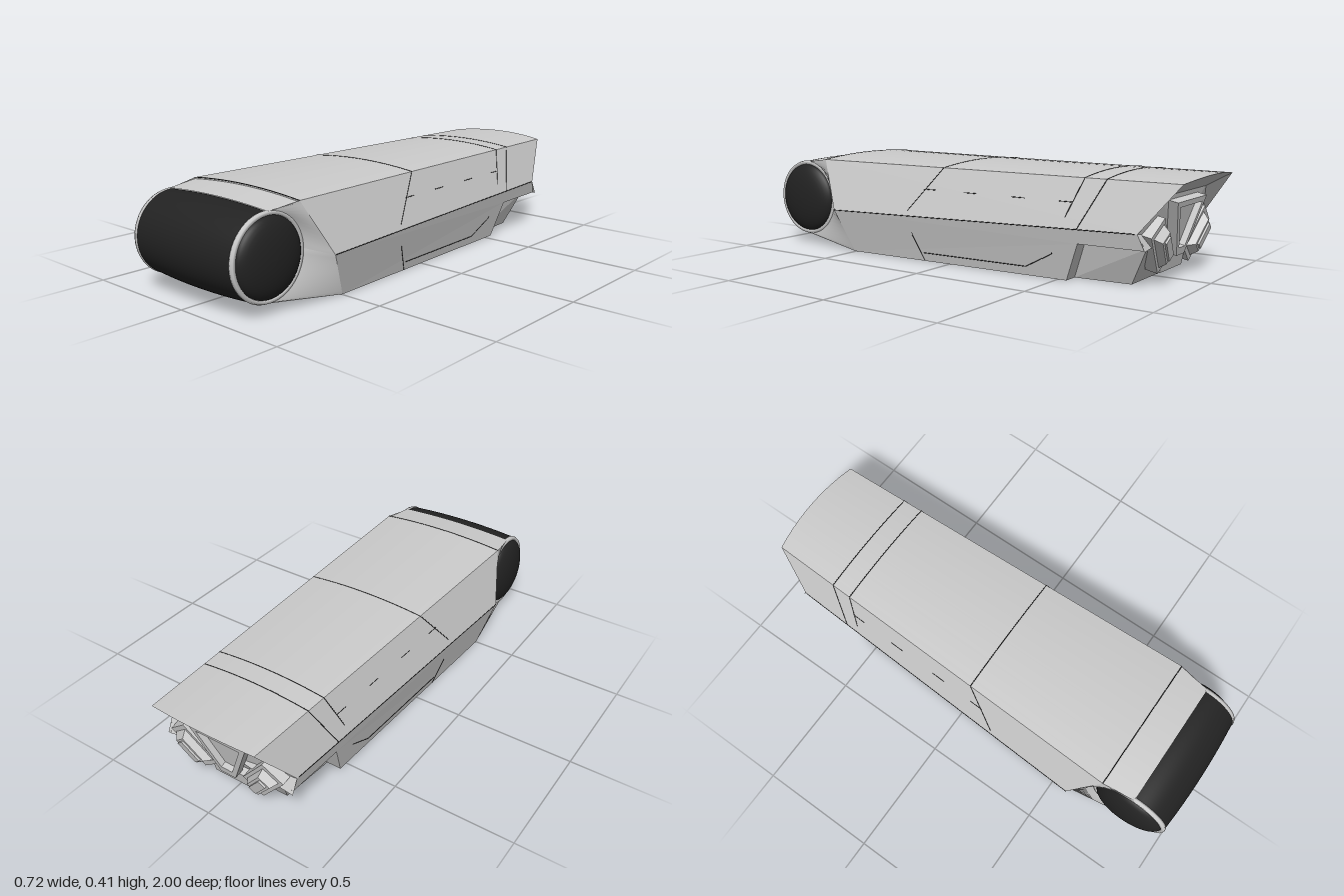
import * as THREE from 'three';

const V = (x, y, z) => new THREE.Vector3(x, y, z);
const lerp = THREE.MathUtils.lerp;
const grey = new THREE.MeshStandardMaterial({ color: 0xcccccc, side: THREE.DoubleSide });
const black = new THREE.MeshStandardMaterial({ color: 0x222222, side: THREE.DoubleSide });
const CY = 0.208, CZ = 0.825; // axis of the front drum

// Hull surface: half-width at a given z and height (six-sided section, tapering to the rear)
const midY = z => 0.18 + 0.03 * (0.58 - z) / 1.42;
function side(z, y, s = 1) {
  const t = (0.58 - z) / 1.42, m = midY(z), xm = 0.36 - 0.06 * t;
  const x = y > m ? lerp(xm, 0.29 - 0.05 * t, (y - m) / (0.39 - m)) : xm - 0.04 * (m - y) / m;
  return V(s * x, y, z);
}
// Crowned arc across the roof
function roofArc(z, bow = 0, drop = 0, n = 16) {
  const w = side(z, 0.39).x;
  return Array.from({ length: n + 1 }, (_, i) => {
    const u = i / n * 2 - 1, c = 1 - u * u;
    return V(u * w, 0.39 + 0.016 * c - drop, z - bow * c);
  });
}

// Smooth strip between two equally long rows of points
function loft(a, b) {
  const g = new THREE.BufferGeometry().setFromPoints([...a, ...b]), n = a.length, idx = [];
  for (let i = 0; i < n - 1; i++) idx.push(i, i + 1, n + i, i + 1, n + i + 1, n + i);
  g.setIndex(idx);
  g.computeVertexNormals();
  return g;
}
// Flat-shaded polygon, fanned from its first corner
function fan(p) {
  const pts = [];
  for (let i = 1; i < p.length - 1; i++) pts.push(p[0], p[i], p[i + 1]);
  const g = new THREE.BufferGeometry().setFromPoints(pts);
  g.computeVertexNormals();
  return g;
}

export function createModel() {
  const root = new THREE.Group();
  const add = (name, geo, mat = grey, parent = root) => {
    const m = new THREE.Mesh(geo, mat);
    m.name = name;
    parent.add(m);
    return m;
  };
  const seam = pts => {
    const path = new THREE.CurvePath();
    for (let i = 0; i < pts.length - 1; i++) path.add(new THREE.LineCurve3(pts[i], pts[i + 1]));
    add('panelSeam', new THREE.TubeGeometry(path, (pts.length - 1) * 2, 0.0016, 4), black);
  };

  // Roof
  add('roof', loft(roofArc(0.69), roofArc(-0.98, 0.02)));
  add('roofLip', loft(roofArc(0.69), roofArc(0.69, 0, 0.008)));
  for (const z of [0.69, 0.04, -0.6, -0.69]) seam(roofArc(z));

  // Floor, narrowing behind the side notches
  add('floor', fan([side(0.5, 0), side(-0.54, 0), side(-0.54, 0, -1), side(0.5, 0, -1)]));
  add('rearFloor', fan([V(0.21, 0, -0.54), V(0.19, 0, -0.77), V(-0.19, 0, -0.77), V(-0.21, 0, -0.54)]));
  seam([side(0.12, 0), side(0.12, 0, -1)]);

  for (const s of [1, -1]) {
    const P = (z, y) => side(z, y, s);
    // Side panels
    add('upperSide', fan([P(0.69, 0.39), P(0.58, 0.18), P(-0.84, midY(-0.84)), P(-0.98, 0.39)]));
    add('lowerSide', fan([P(-0.6, 0.15), P(-0.54, 0), P(0.5, 0), P(0.58, 0.18),
      P(-0.84, midY(-0.84)), P(-0.87, 0.15)]));
    // Notch at the lower rear corner
    const a = V(s * 0.21, 0, -0.54), b = V(s * 0.24, 0.15, -0.6);
    const c = V(s * 0.24, 0.15, -0.85), d = V(s * 0.19, 0, -0.77);
    add('notchFront', fan([P(-0.54, 0), P(-0.6, 0.15), b, a]));
    add('notchWall', fan([a, b, c, d]));
    add('notchRoof', fan([P(-0.6, 0.15), P(-0.87, 0.15), c, b]));
    // Panel seams
    seam([P(0.58, 0.18), P(-0.83, midY(-0.83))]);
    seam([P(0.04, 0.39), P(0.2, midY(0.2)), P(0.12, 0)]);
    seam([P(-0.6, 0.39), P(-0.53, midY(-0.53)), P(-0.46, 0.035), P(0.12, 0.035)]);
    seam([P(-0.69, 0.39), P(-0.6, midY(-0.6))]);
    for (const z of [0.12, -0.08, -0.3, -0.51]) seam([P(z, 0.3), P(z - 0.06, 0.3)]);

    // Shroud from the drum's end ring out to the hull's front edge
    const inner = [], edgeTop = [], edgeLow = [];
    for (let i = 0; i <= 24; i++) {
      const t = i / 24, q = Math.PI * t;
      inner.push(V(s * 0.275, CY + 0.163 * Math.cos(q), CZ - 0.163 * Math.sin(q)));
      if (i <= 12) edgeTop.push(P(0.69, 0.39).lerp(P(0.58, 0.18), t * 2));
      if (i >= 12) edgeLow.push(P(0.58, 0.18).lerp(P(0.5, 0), t * 2 - 1));
    }
    add('upperShroud', loft(inner.slice(0, 13), edgeTop));
    add('lowerShroud', loft(inner.slice(12), edgeLow));

    // End ring and domed black cap
    const ring = add('drumRing', new THREE.LatheGeometry([[0.15, 0.262], [0.166, 0.262],
      [0.168, 0.27], [0.164, 0.28], [0.152, 0.28], [0.15, 0.27]]
      .map(p => new THREE.Vector2(...p)), 56), grey);
    const dome = Array.from({ length: 11 }, (_, i) => {
      const q = i / 10 * Math.PI / 2;
      return new THREE.Vector2(0.152 * Math.cos(q), 0.27 + 0.052 * Math.sin(q));
    });
    const cap = add('drumCap', new THREE.LatheGeometry(dome, 56), black);
    for (const m of [ring, cap]) {
      m.rotation.z = -s * Math.PI / 2;
      m.position.set(0, CY, CZ);
    }
  }

  // Curved black front screen, slightly barrelled
  const radius = x => 0.177 - 0.011 * (x / 0.27) ** 2;
  const barrel = Array.from({ length: 17 }, (_, i) => {
    const x = (i / 8 - 1) * 0.265;
    return new THREE.Vector2(radius(x) - 0.002, x);
  });
  const screen = add('frontScreen', new THREE.LatheGeometry(barrel, 40, -Math.PI / 2, Math.PI), black);
  screen.rotation.z = -Math.PI / 2;
  screen.position.set(0, CY, CZ);

  // Cowl above and chin below the screen
  const across = sign => Array.from({ length: 17 }, (_, i) => {
    const x = (i / 8 - 1) * 0.275;
    return V(x, CY + sign * radius(x), CZ);
  });
  add('cowl', loft(across(1), roofArc(0.69, 0, 0.006)));
  add('chin', loft(across(-1), roofArc(0.69).map((p, i) =>
    V((i / 8 - 1) * side(0.5, 0).x, 0, 0.5))));

  // Rear: sloping hood underside and end panel
  const top = roofArc(-0.98, 0.02);
  add('hoodUnderside', loft(top, top.map((p, i) => V((i / 8 - 1) * 0.21, 0.335, -0.885))));
  for (const s of [1, -1])
    add('hoodCheek', fan([side(-0.98, 0.39, s), side(-0.84, midY(-0.84), s), V(s * 0.21, 0.335, -0.885)]));
  const half = [[0.19, 0, -0.77], [0.24, 0.15, -0.85], [0.3, 0.15, -0.87], [0.3, 0.21, -0.84], [0.21, 0.335, -0.885]];
  add('rearPanel', fan([V(0, 0.17, -0.85), ...half.map(p => V(...p)),
    ...half.slice().reverse().map(([x, y, z]) => V(-x, y, z)), V(...half[0])]));

  // Rear fittings, tilted with the end panel
  const rear = new THREE.Group();
  rear.name = 'rearFittings';
  rear.position.set(0, 0.17, -0.85);
  rear.rotation.set(-0.2, Math.PI, 0);
  root.add(rear);
  const trapezoid = k => [[-0.135, 0.15], [0.135, 0.15], [0.035, -0.07], [-0.035, -0.07]]
    .map(([x, y]) => new THREE.Vector2(x * k, 0.06 + (y - 0.06) * k));
  const frame = new THREE.Shape(trapezoid(1));
  frame.holes.push(new THREE.Path(trapezoid(0.76)));
  add('centreFrame', new THREE.ExtrudeGeometry(frame, { depth: 0.04, bevelEnabled: false }), grey, rear);
  add('centrePlate', new THREE.ExtrudeGeometry(new THREE.Shape(trapezoid(0.8)),
    { depth: 0.015, bevelEnabled: false }), grey, rear);
  add('rearStep', new THREE.BoxGeometry(0.2, 0.06, 0.06).translate(0, -0.105, -0.015), grey, rear);

  // V-set lamp housings: stepped blocks, each with a bevelled lens
  for (const s of [1, -1]) {
    const lamp = new THREE.Group();
    lamp.name = 'rearLamp';
    lamp.position.set(s * 0.165, -0.015, 0);
    lamp.rotation.z = -s * 0.68;
    rear.add(lamp);
    add('lampBase', new THREE.BoxGeometry(0.105, 0.2, 0.05), grey, lamp);
    const lens = new THREE.CylinderGeometry(0.72, 1, 1, 4, 1).rotateY(Math.PI / 4).rotateX(Math.PI / 2)
      .scale(0.056, 0.115, 0.03).toNonIndexed();
    lens.computeVertexNormals();
    add('lampHousing', lens, grey, lamp).position.z = 0.038;
    add('lampLens', new THREE.BoxGeometry(0.035, 0.1, 0.012), grey, lamp).position.z = 0.055;
  }
  return root;
}
